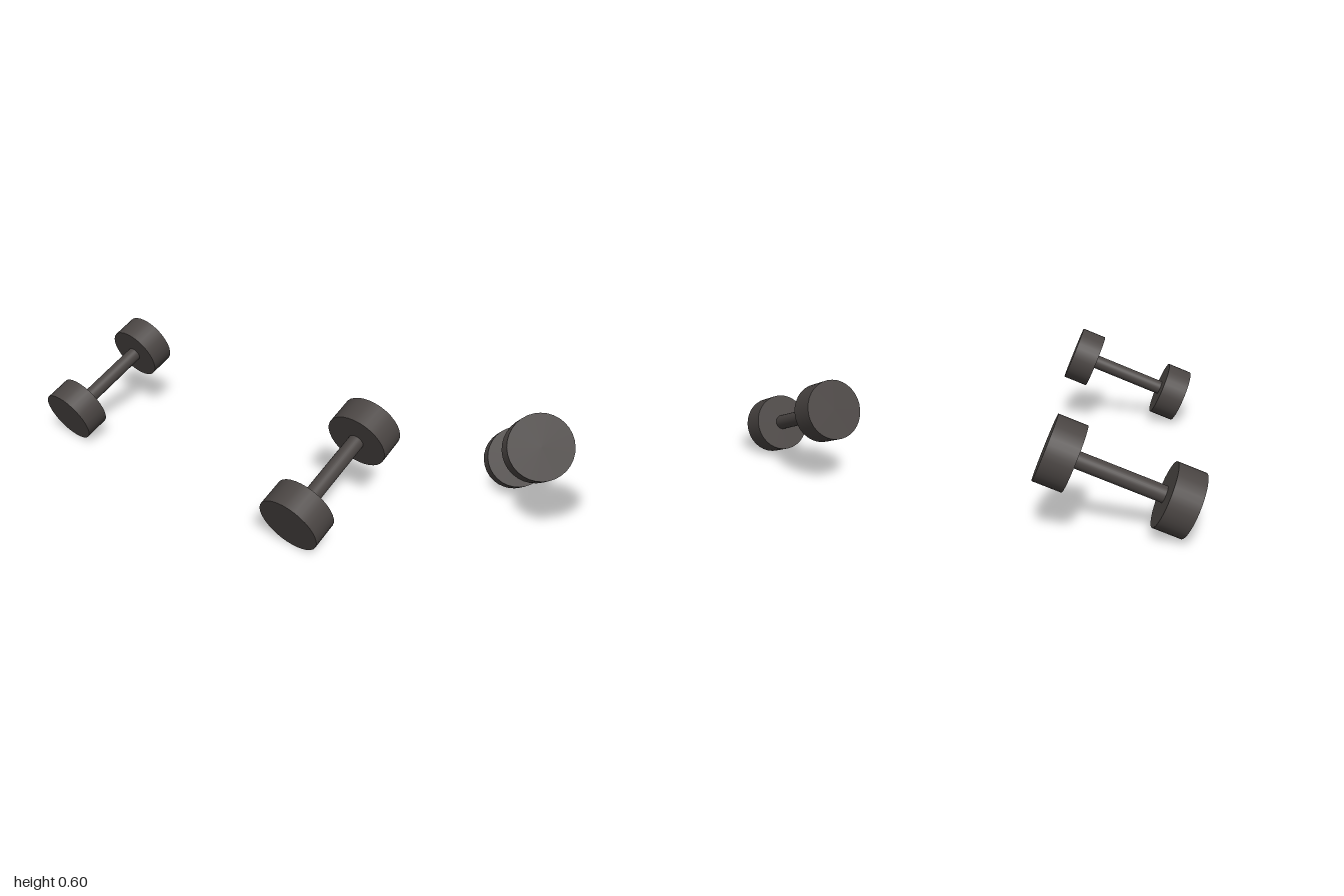
import * as THREE from 'three';

const WEIGHT_RADIUS = 0.169, WEIGHT_LENGTH = 0.15, BAR_RADIUS = 0.043, SPACING = 0.608;

// One dumbbell lying along its local y axis, centred on the origin
function createDumbbell(material) {
  const dumbbell = new THREE.Group();

  const bar = new THREE.Mesh(
    new THREE.CylinderGeometry(BAR_RADIUS, BAR_RADIUS, SPACING - WEIGHT_LENGTH + 0.02, 32), material);
  bar.name = 'handleBar';
  dumbbell.add(bar);

  const weightGeometry = new THREE.CylinderGeometry(WEIGHT_RADIUS, WEIGHT_RADIUS, WEIGHT_LENGTH, 32);
  for (const [name, side] of [['lowerWeight', -1], ['upperWeight', 1]]) {
    const weight = new THREE.Mesh(weightGeometry, material);
    weight.name = name;
    weight.position.y = side * SPACING / 2;
    dumbbell.add(weight);
  }
  return dumbbell;
}

export function createModel() {
  const model = new THREE.Group();
  model.name = 'dumbbellPair';
  const iron = new THREE.MeshStandardMaterial({ color: 0x4a4543 });
  iron.name = 'dark iron';

  // Both dumbbells share the same tilt
  const axis = new THREE.Vector3(0.43, 0.235, -0.36).normalize();
  const tilt = new THREE.Quaternion().setFromUnitVectors(new THREE.Vector3(0, 1, 0), axis);

  for (const [name, side] of [['leftDumbbell', 1], ['rightDumbbell', -1]]) {
    const dumbbell = createDumbbell(iron);
    dumbbell.name = name;
    dumbbell.quaternion.copy(tilt);
    dumbbell.position.set(side * 0.536, 0.302, side * 0.64);
    model.add(dumbbell);
  }
  return model;
}
